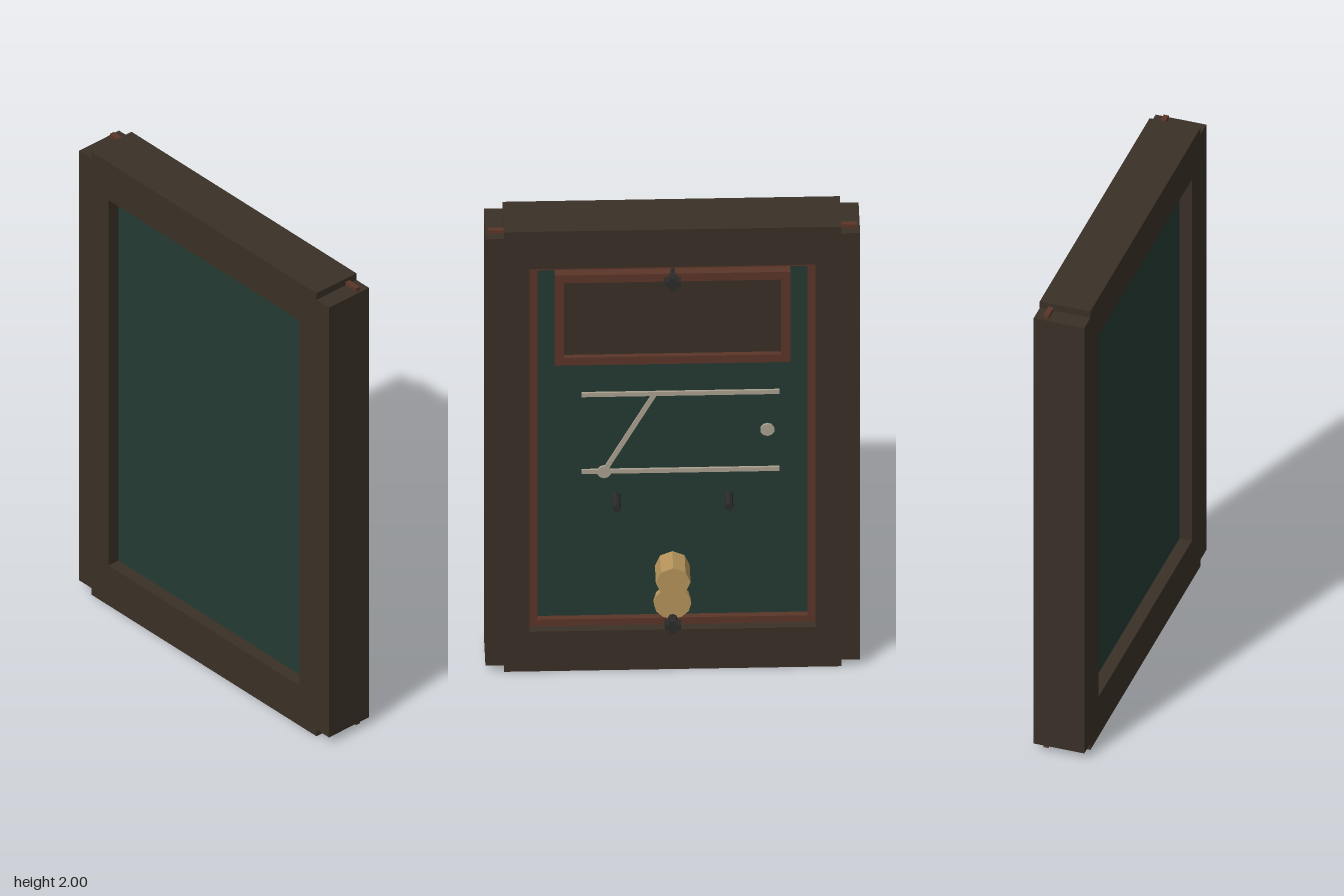
import * as THREE from 'three';

const paint = (name, color) => {
  const m = new THREE.MeshStandardMaterial({ color });
  m.name = name;
  return m;
};

export function createModel() {
  const wood = paint('dark wood', 0x3a3026);
  const trimRed = paint('red brown trim', 0x5a3528);
  const green = paint('green board', 0x233a31);
  const chalk = paint('chalk', 0xa9a08f);
  const brass = paint('brass', 0xb5935a);
  const iron = paint('black iron', 0x2a2b29);

  const model = new THREE.Group();
  const add = (name, geometry, material, x = 0, y = 0, z = 0) => {
    const mesh = new THREE.Mesh(geometry, material);
    mesh.name = name;
    mesh.position.set(x, y, z);
    model.add(mesh);
    return mesh;
  };
  // Box spanning two z values, centred on x, y
  const slab = (name, mat, x, y, w, h, z0, z1) =>
    add(name, new THREE.BoxGeometry(w, h, z1 - z0), mat, x, y, (z0 + z1) / 2);
  // Cylinder lying along z between two z values
  const disc = (name, mat, x, y, r, z0, z1, sides) => {
    const g = new THREE.CylinderGeometry(r, r, z1 - z0, sides).toNonIndexed();
    g.rotateX(Math.PI / 2);
    g.computeVertexNormals();
    return add(name, g, mat, x, y, (z0 + z1) / 2);
  };
  // Rectangular ring extruded between two z values
  const ring = (name, mat, outline, hole, z0, z1) => {
    const shape = new THREE.Shape(outline.map(p => new THREE.Vector2(...p)));
    shape.holes.push(new THREE.Path(hole.map(p => new THREE.Vector2(...p))));
    const g = new THREE.ExtrudeGeometry(shape, { depth: z1 - z0, bevelEnabled: false });
    return add(name, g, mat, 0, 0, z0);
  };
  const rect = (w, y0, y1) => [[-w, y0], [w, y0], [w, y1], [-w, y1]];

  // Outer frame with stepped corners
  const outline = [
    [-0.63, 0], [0.63, 0], [0.63, 0.03], [0.7, 0.03], [0.7, 1.97], [0.63, 1.97],
    [0.63, 2], [-0.63, 2], [-0.63, 1.97], [-0.7, 1.97], [-0.7, 0.03], [-0.63, 0.03],
  ];
  ring('frame', wood, outline, rect(0.535, 0.18, 1.83), -0.075, 0.125);

  // Small corner keys in the notches
  for (const x of [-0.66, 0.66])
    for (const y of [0.027, 1.973]) slab('cornerKey', trimRed, x, y, 0.06, 0.024, -0.04, -0.02);

  // Board and its rear trim
  slab('board', green, 0, 1.005, 1.07, 1.65, -0.015, 0.075);
  ring('rearTrim', trimRed, rect(0.535, 0.18, 1.83), rect(0.505, 0.21, 1.8), -0.04, -0.015);

  // Upper rear plate with raised border
  slab('plate', wood, 0, 1.58, 0.82, 0.36, -0.035, -0.015);
  ring('plateBorder', trimRed, rect(0.44, 1.375, 1.785), rect(0.405, 1.41, 1.75), -0.055, -0.015);

  // Chalk lines and dots
  for (const y of [0.867, 1.217]) slab('chalkLine', chalk, -0.03, y, 0.74, 0.018, -0.024, -0.015);
  const dx = 0.19, dy = 0.35;
  slab('chalkDiagonal', chalk, 0.16, 1.042, 0.018, Math.hypot(dx, dy), -0.0235, -0.015)
    .rotation.z = Math.atan2(dx, dy);
  disc('chalkDot', chalk, 0.255, 0.865, 0.027, -0.0245, -0.015, 10);
  disc('chalkDot', chalk, -0.355, 1.045, 0.027, -0.0245, -0.015, 10);

  // Brass knob and disc
  disc('knob', brass, 0, 0.43, 0.065, -0.128, -0.015, 8);
  disc('brassDisc', brass, 0, 0.275, 0.07, -0.042, -0.015, 12);

  // Small pegs
  for (const x of [-0.21, 0.21]) disc('peg', iron, x, 0.75, 0.016, -0.1, -0.015, 8);

  // Cross-shaped latches on short stems
  for (const y of [0.21, 1.77]) {
    disc('latchStem', iron, 0, y, 0.018, -0.09, -0.015, 8);
    slab('latchBar', iron, 0, y, 0.06, 0.024, -0.105, -0.07);
    slab('latchBar', iron, 0, y, 0.024, 0.054, -0.108, -0.068);
  }
  return model;
}
